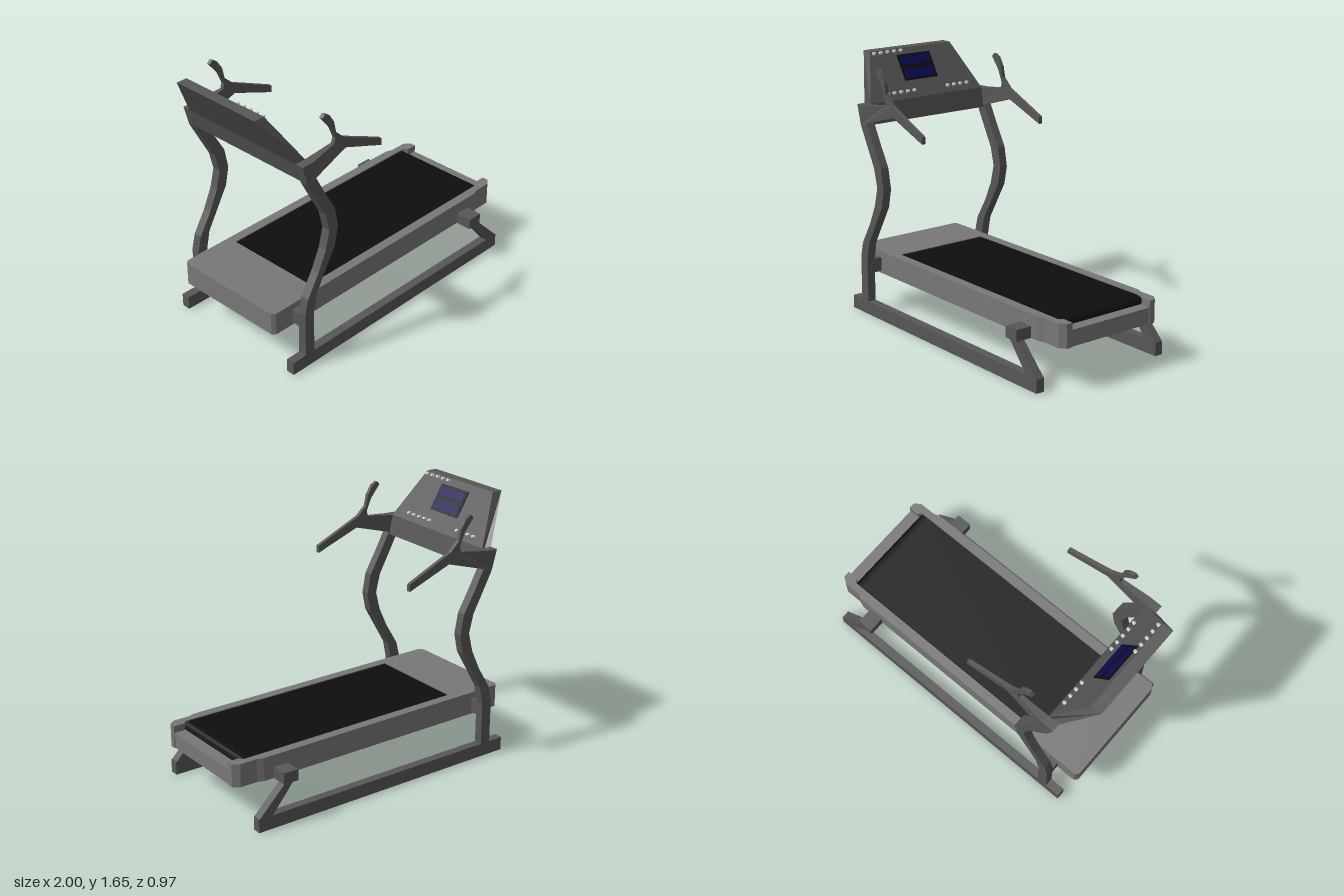
import * as THREE from 'three';

const mat = (name, color) => {
  const m = new THREE.MeshStandardMaterial({ color });
  m.name = name;
  return m;
};

// Polygon from [x, y] points, extruded along z
function extrude(points, depth) {
  const shape = new THREE.Shape(points.map(([x, y]) => new THREE.Vector2(x, y)));
  return new THREE.ExtrudeGeometry(shape, { depth, bevelEnabled: false });
}

export function createModel() {
  const frameGrey = mat('frame grey', 0x575757);
  const deckGrey = mat('deck grey', 0x787878);
  const beltBlack = mat('belt black', 0x0e0e0e);
  const screenBlue = mat('screen blue', 0x0b0b58);
  const buttonGrey = mat('button light grey', 0xd0d0d0);

  const model = new THREE.Group();
  const add = (parent, name, geometry, material, x = 0, y = 0, z = 0) => {
    const mesh = new THREE.Mesh(geometry, material);
    mesh.name = name;
    mesh.position.set(x, y, z);
    parent.add(mesh);
    return mesh;
  };
  const box = (parent, name, material, x0, x1, y0, y1, z0, z1) =>
    add(parent, name, new THREE.BoxGeometry(x1 - x0, y1 - y0, z1 - z0), material,
      (x0 + x1) / 2, (y0 + y1) / 2, (z0 + z1) / 2);

  // Deck: hood and side rails in one U-shaped outline, open at the rear
  const half = [
    [-0.97, 0.36], [-0.95, 0.38], [0.81, 0.38], [0.85, 0.365], [0.96, 0.365],
    [1, 0.335], [1, 0.295], [0.93, 0.295], [0.91, 0.32], [-0.615, 0.32],
  ];
  const outline = [...half, ...half.map(([x, z]) => [x, -z]).reverse()];
  const deck = new THREE.Group();
  deck.name = 'deck';
  model.add(deck);
  const shell = extrude(outline, 0.145);
  shell.rotateX(-Math.PI / 2);
  add(deck, 'deckShell', shell, deckGrey, 0, 0.255, 0);
  box(deck, 'deckFloor', deckGrey, -0.64, 0.995, 0.256, 0.355, -0.325, 0.325);

  // Running belt with a rounded rear end
  const beltProfile = [
    [-0.612, 0.345], [0.92, 0.345], [0.92, 0.362], [0.912, 0.38],
    [0.895, 0.391], [0.87, 0.396], [-0.612, 0.396],
  ];
  add(deck, 'runningBelt', extrude(beltProfile, 0.634), beltBlack, 0, 0, -0.317);

  // Side frames
  const postProfile = [
    [-0.82, 0.08], [-0.75, 0.08], [-0.75, 0.36], [-0.725, 0.48], [-0.65, 0.61],
    [-0.575, 0.74], [-0.55, 0.86], [-0.575, 0.99], [-0.65, 1.12], [-0.72, 1.25],
    [-0.785, 1.23], [-0.71, 1.09], [-0.65, 0.98], [-0.62, 0.86], [-0.65, 0.74],
    [-0.71, 0.61], [-0.795, 0.47], [-0.82, 0.37],
  ];
  const legProfile = [
    [0.645, 0.255], [0.685, 0.255], [0.83, 0.08], [0.92, 0.08],
    [0.745, 0.255], [0.745, 0.325], [0.645, 0.325],
  ];
  const handleProfile = [
    [-0.82, 1.357], [-0.785, 1.23], [-0.72, 1.25], [-0.465, 1.325], [-0.17, 1.215],
    [-0.17, 1.26], [-0.475, 1.395], [-0.54, 1.455], [-0.555, 1.525], [-0.59, 1.58],
    [-0.625, 1.6], [-0.645, 1.58], [-0.58, 1.5], [-0.545, 1.42], [-0.555, 1.385],
    [-0.74, 1.36],
  ];
  for (const [side, s] of [['left', 1], ['right', -1]]) {
    const frame = new THREE.Group();
    frame.name = side + 'Frame';
    model.add(frame);
    const zMin = s > 0 ? 0.43 : -0.485;
    const mirrored = (z0, z1) => (s > 0 ? [z0, z1] : [-z1, -z0]);

    box(frame, 'baseRail', frameGrey, -0.92, 0.92, 0, 0.085, ...mirrored(0.43, 0.485));
    add(frame, 'upright', extrude(postProfile, 0.055), frameGrey, 0, 0, zMin);
    add(frame, 'rearLeg', extrude(legProfile, 0.055), frameGrey, 0, 0, zMin);
    box(frame, 'frontBracket', frameGrey, -0.82, -0.75, 0.27, 0.36, ...mirrored(0.37, 0.44));
    box(frame, 'rearBracket', frameGrey, 0.645, 0.745, 0.255, 0.325, ...mirrored(0.36, 0.44));

    // Handlebar: full width at the upright, thin at the grips
    const handle = extrude(handleProfile, 1);
    const p = handle.attributes.position;
    for (let i = 0; i < p.count; i++) {
      const grip = p.getX(i) > -0.7;
      const t = p.getZ(i) * 2 - 1;
      p.setZ(i, s * (grip ? 0.45 : 0.4575) + t * (grip ? 0.012 : 0.0275));
    }
    handle.computeVertexNormals();
    add(frame, 'handlebar', handle, frameGrey);
  }

  // Console: slanted slab that narrows towards the top
  const consoleGroup = new THREE.Group();
  consoleGroup.name = 'console';
  model.add(consoleGroup);
  const body = extrude([
    [-1, 1.65], [-0.82, 1.357], [-0.783, 1.235], [-0.725, 1.235], [-0.75, 1.36], [-0.93, 1.65],
  ], 1);
  const p = body.attributes.position;
  for (let i = 0; i < p.count; i++) {
    p.setZ(i, (p.getZ(i) * 2 - 1) * (p.getY(i) > 1.5 ? 0.31 : 0.432));
  }
  body.computeVertexNormals();
  add(consoleGroup, 'consoleBody', body, frameGrey);

  // Control panel: local x points out of the console face, y runs up it
  const panel = new THREE.Group();
  panel.name = 'controlPanel';
  panel.position.set(-0.75, 1.36, 0);
  panel.rotation.z = Math.atan2(0.18, 0.29);
  consoleGroup.add(panel);
  box(panel, 'screenFrame', beltBlack, -0.002, 0.006, 0.118, 0.294, -0.125, 0.127);
  for (const [y0, y1] of [[0.133, 0.19], [0.222, 0.279]]) {
    box(panel, 'screen', screenBlue, 0.004, 0.009, y0, y1, -0.11, 0.112);
  }
  const button = new THREE.CylinderGeometry(0.009, 0.013, 0.018, 10);
  button.rotateZ(-Math.PI / 2);
  const buttonRows = [[0.322, 0.087, 5], [0.047, 0.087, 5], [0.047, -0.326, 4]];
  for (const [y, z, count] of buttonRows) {
    for (let i = 0; i < count; i++) add(panel, 'button', button, buttonGrey, 0.007, y, z + i * 0.0505);
  }

  return model;
}
